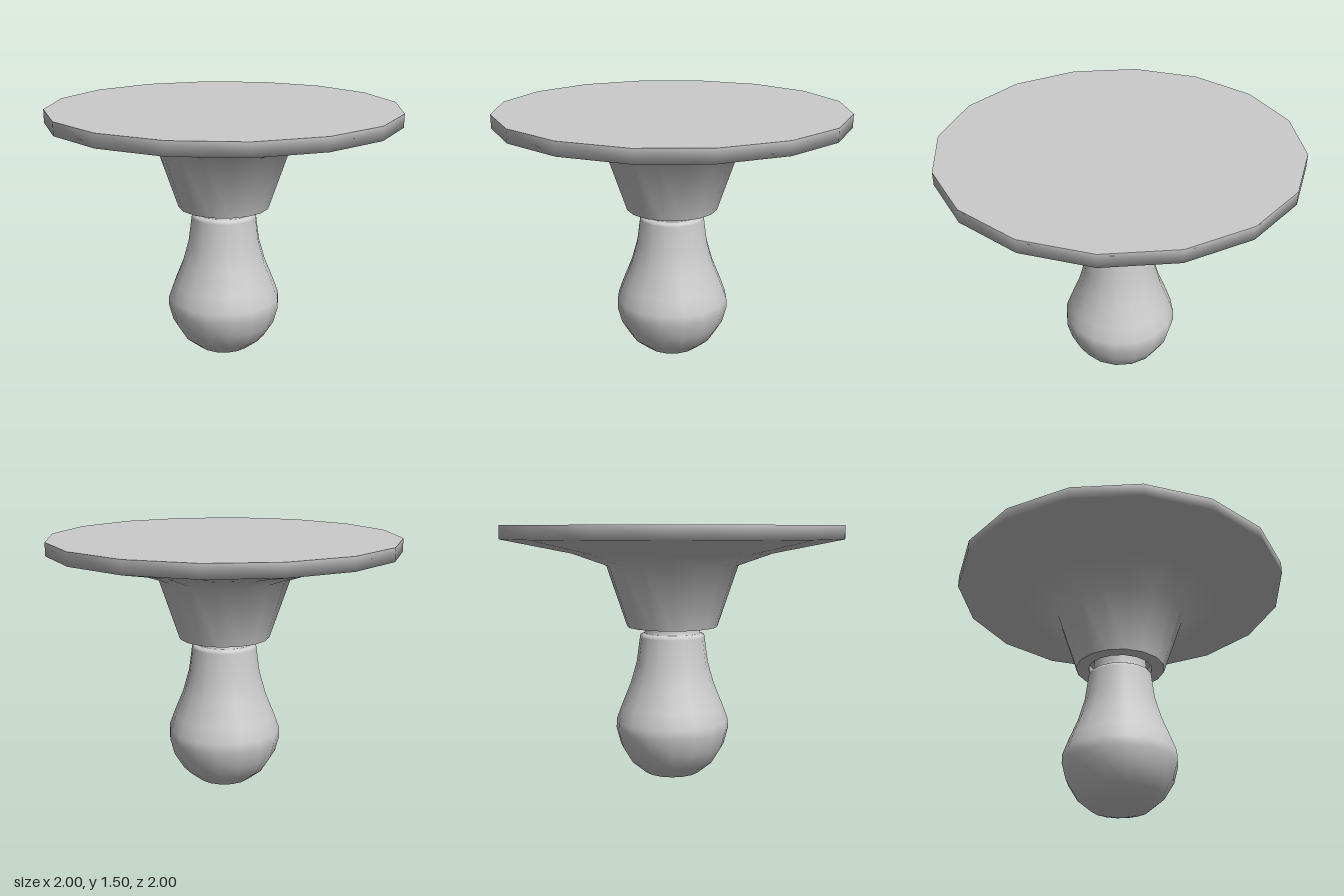
import * as THREE from 'three';

const SIDES = 16;
const material = new THREE.MeshStandardMaterial({ color: 0xcccccc });

// Turns a profile of [radius, height] pairs, listed from bottom to top.
function turned(name, profile) {
  const points = profile.map(([r, y]) => new THREE.Vector2(r, y));
  const mesh = new THREE.Mesh(new THREE.LatheGeometry(points, SIDES), material);
  mesh.name = name;
  return mesh;
}

export function createModel() {
  const model = new THREE.Group();
  model.name = 'ceilingLamp';

  // Ceiling fixture: separate profiles keep the edges between them sharp
  const fixture = new THREE.Group();
  fixture.name = 'fixture';
  fixture.add(
    turned('ceilingPlate', [[1, 1.495], [0, 1.495]]),
    turned('flaredBase', [[0.265, 0.91], [0.385, 1.265], [0.6, 1.34], [1, 1.42], [1, 1.495]]),
    turned('socketRim', [[0.19, 0.91], [0.265, 0.91]]),
    turned('socketWall', [[0.19, 0.96], [0.19, 0.91]]),
    turned('socketFloor', [[0, 0.96], [0.19, 0.96]])
  );

  // Light bulb with a stepped collar and a neck running into the socket
  const bulb = new THREE.Group();
  bulb.name = 'bulb';
  bulb.add(
    turned('glass', [
      [0, 0], [0.045, 0.005], [0.165, 0.04], [0.25, 0.11], [0.308, 0.205], [0.333, 0.3],
      [0.331, 0.355], [0.3, 0.44], [0.247, 0.57], [0.21, 0.7], [0.19, 0.85]
    ]),
    turned('collar', [[0.19, 0.85], [0.187, 0.865], [0.165, 0.871]]),
    turned('neck', [[0.165, 0.871], [0.157, 0.89], [0.157, 0.96]])
  );

  model.add(fixture, bulb);
  return model;
}
